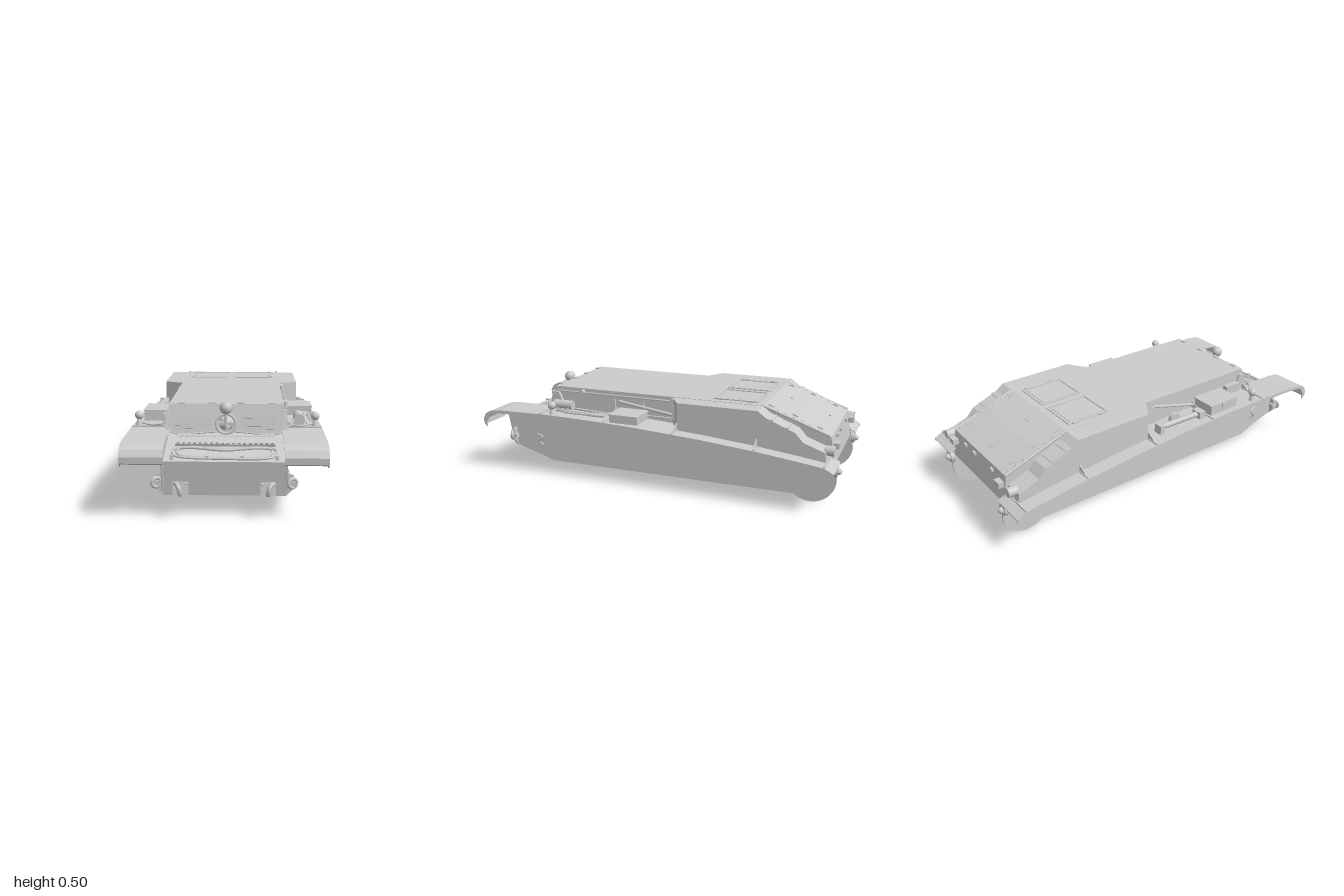
import * as THREE from 'three';

const mat = new THREE.MeshStandardMaterial({ color: 0xcccccc, side: THREE.DoubleSide });

export function createModel() {
  const root = new THREE.Group();

  const add = (name, geo, x = 0, y = 0, z = 0, rx = 0, ry = 0, rz = 0) => {
    const m = new THREE.Mesh(geo, mat);
    m.name = name;
    m.position.set(x, y, z);
    m.rotation.set(rx, ry, rz);
    root.add(m);
    return m;
  };
  const box = (name, w, h, d, ...at) => add(name, new THREE.BoxGeometry(w, h, d), ...at);
  const cyl = (name, r, h, ...at) => add(name, new THREE.CylinderGeometry(r, r, h, 16), ...at);
  const ball = (name, r, ...at) => add(name, new THREE.SphereGeometry(r, 20, 14), ...at);
  const tube = (name, pts, r, closed = false) => add(name, new THREE.TubeGeometry(
    new THREE.CatmullRomCurve3(pts.map(p => new THREE.Vector3(...p)), closed), pts.length * 8, r, 6, closed));
  // straight rod between two points
  const rod = (name, a, b, r) => add(name, new THREE.TubeGeometry(
    new THREE.LineCurve3(new THREE.Vector3(...a), new THREE.Vector3(...b)), 1, r, 8));
  // profile drawn in (z, y), extruded across x from x0 to x1
  const slab = (shape, x0, x1) => {
    const s = Array.isArray(shape) ? new THREE.Shape(shape.map(p => new THREE.Vector2(...p))) : shape;
    return new THREE.ExtrudeGeometry(s, { depth: x1 - x0, bevelEnabled: false, curveSegments: 16 })
      .rotateY(-Math.PI / 2).translate(x1, 0, 0);
  };
  const sided = (x0, x1, s) => (s > 0 ? [x0, x1] : [-x1, -x0]);

  // hull, glacis, casemate and sloping engine deck
  add('hull', slab([[0.66, 0.03], [0.9, 0.1], [0.925, 0.265], [0.66, 0.34], [0.625, 0.478], [-0.58, 0.478],
    [-0.75, 0.425], [-0.93, 0.35], [-0.95, 0.2], [-0.87, 0.1], [-0.74, 0.03]], -0.28, 0.28));

  const fenderTop = [[0.99, 0.27], [0.992, 0.3], [0.975, 0.33], [0.94, 0.348], [0.88, 0.355], [0.6, 0.36], [0.3, 0.354],
    [0.05, 0.343], [-0.3, 0.32], [-0.6, 0.292], [-0.8, 0.268], [-0.93, 0.25], [-0.98, 0.225]];
  const fenderY = z => {
    const i = Math.max(2, fenderTop.findIndex(p => p[0] < z));
    const [a, b] = [fenderTop[i - 1], fenderTop[i]];
    return a[1] + (b[1] - a[1]) * (z - a[0]) / (b[0] - a[0]);
  };

  for (const s of [1, -1]) {
    // side plate with the rounded final drive housing at the rear
    const p = new THREE.Shape();
    p.moveTo(0.66, 0.03);
    p.lineTo(-0.74, 0.03);
    p.absarc(-0.84, 0.13, 0.13, -0.87, -Math.PI, true);
    p.lineTo(-0.95, 0.245);
    p.lineTo(-0.6, 0.29);
    p.lineTo(0.05, 0.34);
    p.lineTo(0.6, 0.355);
    p.lineTo(0.88, 0.33);
    p.lineTo(0.95, 0.28);
    p.lineTo(0.92, 0.125);
    add('sidePlate', slab(p, ...sided(0.278, 0.287, s)));

    // fender with curled front mudguard and outer lip
    add('fender', slab([...fenderTop, ...fenderTop.map(([z, y]) => [z - (z > 0.95 ? 0.006 : 0), y - 0.006]).reverse()],
      ...sided(0.27, 0.465, s)));
    add('fenderLip', slab([...fenderTop, ...fenderTop.map(([z, y]) => [z - (z > 0.95 ? 0.02 : 0), y - 0.018]).reverse()],
      ...sided(0.461, 0.467, s)));
    for (const z of [0.62, 0.24, -0.15, -0.58, -0.93]) {
      const y = fenderY(z);
      box('fenderStrap', 0.18, 0.008, 0.008, s * 0.375, y + 0.003, z);
      const g = new THREE.Shape([[0, 0], [0.07, 0], [0, 0.04]].map(q => new THREE.Vector2(s * q[0], q[1])));
      const x = z < -0.1 && z > -0.9 ? 0.385 : 0.285;
      add('fenderGusset', new THREE.ExtrudeGeometry(g, { depth: 0.005, bevelEnabled: false }), s * x, y, z);
    }

    // rear sponson, its front wall swept inward
    const sponson = slab([[-0.15, 0.32], [-0.15, 0.476], [-0.58, 0.476], [-0.62, 0.445], [-0.77, 0.385],
      [-0.81, 0.34], [-0.92, 0.3], [-0.93, 0.24], [-0.6, 0.28]], ...sided(0.27, 0.385, s));
    const v = sponson.attributes.position;
    for (let i = 0; i < v.count; i++) {
      if (Math.abs(v.getX(i)) < 0.3 && v.getZ(i) > -0.2) v.setZ(i, -0.08);
    }
    sponson.computeVertexNormals();
    add('sponson', sponson);
    for (const [z, y] of [[-0.65, 0.436], [-0.73, 0.404]])
      box('airIntakeRib', 0.095, 0.008, 0.008, s * 0.335, y, z, -0.38);
    rod('deckRail', [s * 0.278, 0.478, -0.58], [s * 0.278, 0.355, -0.925], 0.006);

    // cheek plate beside the driver's front plate
    add('frontCheek', slab([[0.66, 0.3], [0.658, 0.35], [0.63, 0.45], [0.6, 0.45], [0.55, 0.35]],
      ...sided(0.28, 0.296, s)));

    // visor block with hood
    const visor = new THREE.Group();
    visor.name = 'visor';
    const parts = [[0.17, 0.044, 0.04, 0, 0, 0], [0.15, 0.012, 0.055, 0, 0.022, 0], [0.15, 0.012, 0.03, 0, -0.03, 0]];
    for (const [w, h, d, x, y, z] of parts) {
      const m = new THREE.Mesh(new THREE.BoxGeometry(w, h, d), mat);
      m.name = 'visorPlate';
      m.position.set(x, y, z);
      visor.add(m);
    }
    visor.position.set(s * 0.16, 0.396, 0.655);
    visor.rotation.x = -0.22;
    root.add(visor);

    // front tow hooks and corner shackles
    box('hookPlate', 0.07, 0.065, 0.012, s * 0.2, 0.135, 0.912, -0.15);
    tube('towHook', [[s * 0.2, 0.115, 0.915], [s * 0.2, 0.12, 0.95], [s * 0.205, 0.15, 0.955], [s * 0.22, 0.165, 0.93]], 0.011);
    for (const dx of [-1, 1]) for (const dy of [-1, 1])
      ball('hookBolt', 0.006, s * 0.2 + dx * 0.027, 0.135 + dy * 0.025, 0.918 + dy * 0.004);
    add('shackleBracket', new THREE.ExtrudeGeometry(new THREE.Shape([[0, 0.1], [0.04, 0.14], [0.035, 0.2], [0, 0.21]]
      .map(q => new THREE.Vector2(s * q[0], q[1]))), { depth: 0.012, bevelEnabled: false }), s * 0.28, 0, 0.895);
    add('shackle', new THREE.TorusGeometry(0.021, 0.009, 8, 16), s * 0.31, 0.165, 0.915, 0, 0.5);
    box('shackleBlock', 0.03, 0.025, 0.04, s * 0.31, 0.162, 0.9);
    tube('sideHook', [[s * 0.285, 0.18, 0.76], [s * 0.3, 0.17, 0.72], [s * 0.3, 0.14, 0.74], [s * 0.287, 0.12, 0.72]], 0.006);

    // fender lamps
    ball('fenderLamp', 0.022, s * 0.437, 0.408, 0.56);
    add('lampFoot', new THREE.CylinderGeometry(0.008, 0.018, 0.035, 12), s * 0.437, 0.374, 0.56);
    tube('lampCable', [[s * 0.43, 0.37, 0.56], [s * 0.36, 0.37, 0.62], [s * 0.31, 0.38, 0.66],
      [s * 0.25, 0.345, 0.69], [s * 0.05, 0.35, 0.68]], 0.004);

    // rear tow discs and tail lamps
    cyl('rearTowDisc', 0.032, 0.02, s * 0.3, 0.185, -0.965, Math.PI / 2);
    ball('rearTowKnob', 0.018, s * 0.3, 0.185, -0.978);
    cyl('tailLampBody', 0.025, 0.05, s * 0.34, 0.3, -0.935, Math.PI / 2);
    box('tailLampBracket', 0.05, 0.03, 0.03, s * 0.25, 0.305, -0.955);

    // roof hatch frame with lid and hinges
    const cx = s * 0.128;
    box('hatchLid', 0.18, 0.004, 0.2, cx, 0.479, -0.42);
    for (const e of [-1, 1]) {
      box('hatchFrameSide', 0.008, 0.008, 0.24, cx + e * 0.105, 0.479, -0.42);
      box('hatchFrameEnd', 0.218, 0.008, 0.008, cx, 0.479, -0.42 + e * 0.116);
      box('hatchHinge', 0.012, 0.012, 0.035, s * 0.24, 0.48, -0.42 + e * 0.08);
    }

    // bolt rows on the engine deck
    for (let i = 0; i < 8; i++) {
      const z = -0.61 - i * 0.042;
      const y = z > -0.75 ? 0.478 + (z + 0.58) * 0.312 : 0.425 + (z + 0.75) * 0.417;
      ball('deckBolt', 0.006, s * 0.265, y, z);
      if (i % 3 === 0) box('deckBracket', 0.012, 0.012, 0.03, s * 0.235, y, z, -0.35);
    }
  }

  // ball mounted gun and head lamp on the front plate
  add('gunRing', new THREE.TorusGeometry(0.047, 0.006, 8, 32), 0, 0.388, 0.672, -0.2);
  ball('gunBall', 0.036, 0, 0.388, 0.652);
  cyl('gunBarrel', 0.011, 0.06, 0.008, 0.375, 0.695, Math.PI / 2);
  box('gunShield', 0.075, 0.016, 0.03, 0, 0.392, 0.682);
  cyl('headLampStem', 0.007, 0.08, 0, 0.42, 0.692);
  ball('headLamp', 0.031, 0, 0.47, 0.692);

  // ventilation grille and spare links on the glacis
  box('glacisGrille', 0.47, 0.012, 0.07, 0, 0.32, 0.76, 0.276);
  for (let i = 0; i < 18; i++) {
    const x = -0.221 + i * 0.026;
    box('grilleSlat', 0.014, 0.02, 0.06, x, 0.322, 0.765, 0.276);
    cyl('spareLink', 0.011, 0.022, x, 0.335, 0.715, 0, 0, Math.PI / 2);
  }
  // tow cable loops
  for (const r of [0, 0.018]) {
    tube('towCable', [[-0.23 + r, 0.285, 0.89 - r], [0, 0.276, 0.91 - r], [0.22 - r, 0.282, 0.9 - r], [0.235 - r, 0.3, 0.83],
      [0.15, 0.307, 0.815 + r], [0, 0.3, 0.83 + r], [-0.15, 0.307, 0.815 + r], [-0.235 + r, 0.3, 0.83]], 0.006, true);
  }
  for (const x of [-0.24, -0.08, 0.08, 0.24]) box('cableClamp', 0.015, 0.02, 0.02, x, 0.28, 0.905);

  // roof edge tabs at the front and ridge strips
  for (const x of [-0.22, -0.07, 0.07, 0.22]) box('roofTab', 0.035, 0.008, 0.02, x, 0.48, 0.615);
  for (const z of [-0.66, -0.87]) box('deckCatch', 0.03, 0.01, 0.01, -0.03, z > -0.75 ? 0.454 : 0.377, z, -0.35);
  for (const x of [-0.15, 0.04, 0.14]) box('rearCatch', 0.025, 0.015, 0.012, x, 0.325, -0.94);

  // left fender: stowage box, long rod, jack bar and tools
  box('stowageBox', 0.14, 0.04, 0.16, 0.375, 0.37, 0.13);
  box('stowageLid', 0.15, 0.008, 0.17, 0.375, 0.392, 0.13);
  rod('aerialRod', [0.296, 0.458, 0.6], [0.296, 0.458, -0.1], 0.005);
  for (const z of [0.45, -0.09]) cyl('rodClamp', 0.014, 0.025, 0.292, 0.458, z, 0, 0, Math.PI / 2);
  rod('pryBar', [0.3, 0.43, 0.22], [0.3, 0.385, -0.09], 0.009);
  box('barTray', 0.012, 0.012, 0.34, 0.3, 0.362, 0.08);
  for (const z of [0.25, 0.08, -0.09]) box('trayPost', 0.01, 0.08, 0.01, 0.294, 0.395, z);
  cyl('extinguisher', 0.025, 0.11, 0.357, 0.397, 0.53, Math.PI / 2);
  box('extinguisherCradle', 0.05, 0.02, 0.08, 0.357, 0.37, 0.53);
  rod('axeHandle', [0.32, 0.372, 0.6], [0.36, 0.372, 0.27], 0.007);
  rod('shovelHandle', [0.39, 0.372, 0.56], [0.4, 0.372, 0.3], 0.007);
  box('shovelBlade', 0.05, 0.01, 0.09, 0.4, 0.37, 0.3);
  rod('toolBar', [0.42, 0.372, 0.5], [0.42, 0.372, 0.27], 0.006);

  // right fender: large tool chest, jack and wire reel
  box('toolChest', 0.135, 0.055, 0.19, -0.362, 0.38, 0.35);
  box('toolChestLid', 0.142, 0.008, 0.2, -0.362, 0.409, 0.35);
  box('chestLatch', 0.008, 0.02, 0.03, -0.433, 0.395, 0.35);
  rod('jackBody', [-0.39, 0.37, 0.22], [-0.385, 0.372, -0.06], 0.016);
  box('jackHead', 0.06, 0.04, 0.04, -0.39, 0.37, 0.2);
  box('jackFoot', 0.05, 0.05, 0.03, -0.385, 0.365, -0.07);
  cyl('wireReel', 0.032, 0.025, -0.36, 0.377, 0.05, 0, 0, Math.PI / 2);
  rod('crank', [-0.296, 0.37, 0.25], [-0.296, 0.45, -0.05], 0.008);
  box('sideLocker', 0.03, 0.05, 0.1, -0.3, 0.39, 0.53);

  return root;
}
